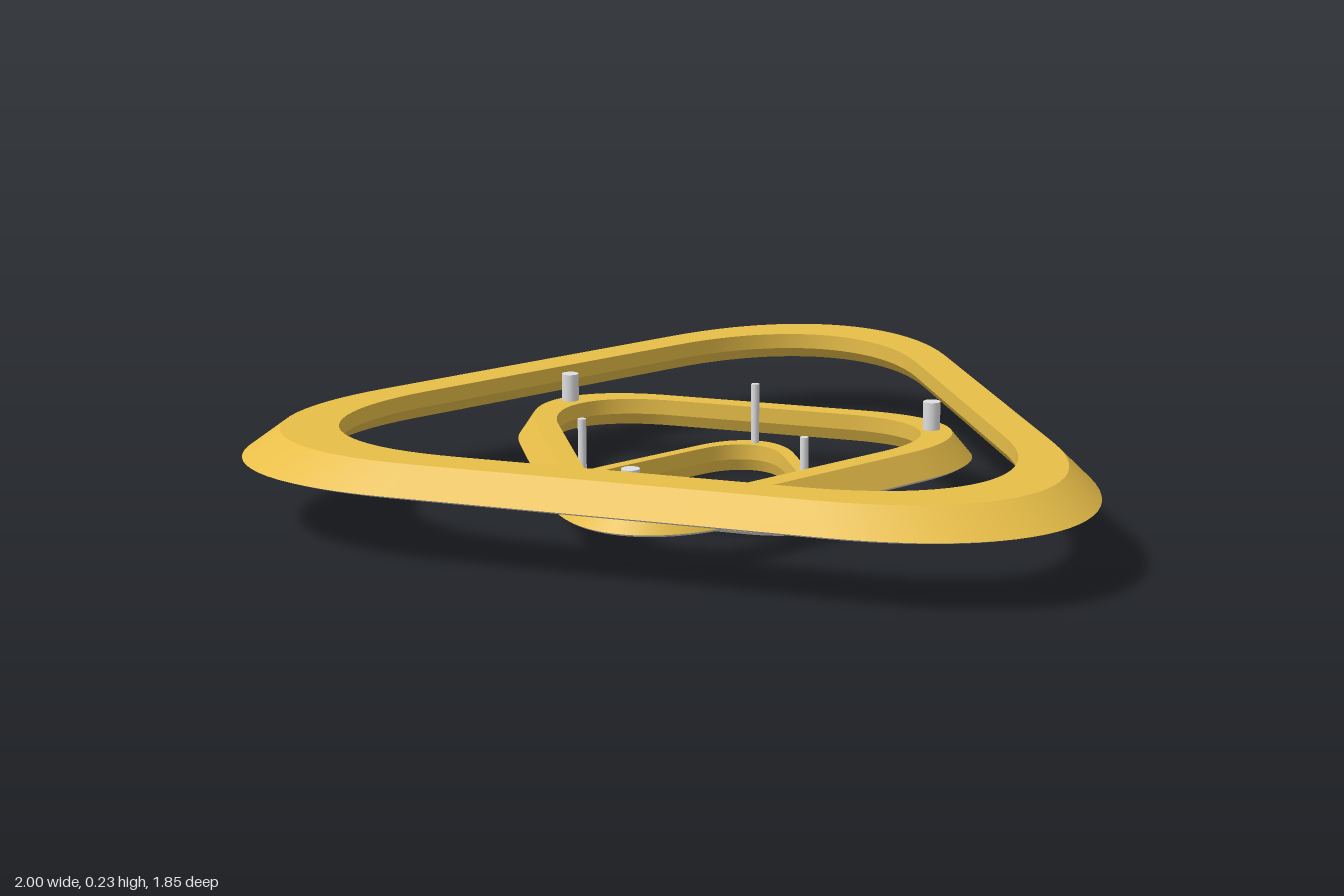
import * as THREE from 'three';

const gold = new THREE.MeshStandardMaterial({ color: 0xe9bf49 });
gold.name = 'gold';
const paleGrey = new THREE.MeshStandardMaterial({ color: 0xd5d2d0 });
paleGrey.name = 'undersidePaleGrey';
const silver = new THREE.MeshStandardMaterial({ color: 0xdedee0 });
silver.name = 'silver';

// Rounded triangle of half width 1, apex towards -z, centred on its centroid
function triangleOutline() {
  const inradius = 0.753, trim = 0.805, handle = 0.56;
  const corners = [0, 1, 2].map((i) => {
    const a = -Math.PI / 6 + i * Math.PI * 2 / 3;
    return new THREE.Vector2(Math.cos(a), -Math.sin(a)).multiplyScalar(2 * inradius);
  });
  const points = [new THREE.Vector2(0, inradius)];
  corners.forEach((c, i) => {
    const toPrev = corners[(i + 2) % 3].clone().sub(c).normalize();
    const toNext = corners[(i + 1) % 3].clone().sub(c).normalize();
    const at = (dir, d) => c.clone().addScaledVector(dir, d);
    const curve = new THREE.CubicBezierCurve(
      at(toPrev, trim), at(toPrev, trim * (1 - handle)),
      at(toNext, trim * (1 - handle)), at(toNext, trim));
    points.push(...curve.getPoints(24));
  });
  return points;
}

// Band between two scaled copies of the outline, each given as [scale, y]
function band(outline, [s0, y0], [s1, y1]) {
  const position = [], index = [], n = outline.length;
  for (let i = 0; i <= n; i++) {
    const p = outline[i % n];
    position.push(p.x * s0, y0, p.y * s0, p.x * s1, y1, p.y * s1);
    if (i < n) {
      const a = i * 2;
      index.push(a, a + 2, a + 3, a, a + 3, a + 1);
    }
  }
  const g = new THREE.BufferGeometry();
  g.setAttribute('position', new THREE.Float32BufferAttribute(position, 3));
  g.setIndex(index);
  g.computeVertexNormals();
  return g;
}

function ring(name, size, y, z, turned) {
  const group = new THREE.Group();
  group.name = name;
  const outline = triangleOutline();
  // Cross-section, starting at the outer edge of the underside
  const profile = [[0.98, 0], [1, 0.007], [0.92, 0.068], [0.797, 0.068], [0.797, 0.03], [0.83, 0]];
  const parts = [
    ['lowerLip', paleGrey], ['outerBevel', gold], ['topFace', gold],
    ['innerWall', gold], ['innerUndercut', gold], ['underside', paleGrey],
  ];
  parts.forEach(([part, material], i) => {
    const [a, b] = [profile[i], profile[(i + 1) % profile.length]];
    const mesh = new THREE.Mesh(band(outline, [a[0] * size, a[1]], [b[0] * size, b[1]]), material);
    mesh.name = part;
    group.add(mesh);
  });
  group.position.set(0, y, z);
  if (turned) group.rotation.y = Math.PI;
  return group;
}

function pin(name, x, z, radius, bottom, top) {
  const mesh = new THREE.Mesh(new THREE.CylinderGeometry(radius, radius, top - bottom, 16), silver);
  mesh.name = name;
  mesh.position.set(x, (bottom + top) / 2, z);
  return mesh;
}

export function createModel() {
  const model = new THREE.Group();
  model.name = 'tieredTriangleRings';
  model.add(
    ring('largeRing', 1, 0.157, 0.172, false),
    ring('middleRing', 0.57, 0.081, 0.163, true),
    ring('smallRing', 0.33, 0, 0.171, false));

  // Thick pins on the middle ring, thin pins on the small ring
  for (const [x, z] of [[-0.475, -0.105], [0.46, -0.105], [-0.004, 0.715]])
    model.add(pin('thickPin', x, z, 0.021, 0.14, 0.217));
  for (const [x, z] of [[-0.273, 0.325], [0.273, 0.325], [0, -0.145]])
    model.add(pin('thinPin', x, z, 0.01, 0.06, 0.217));
  return model;
}
